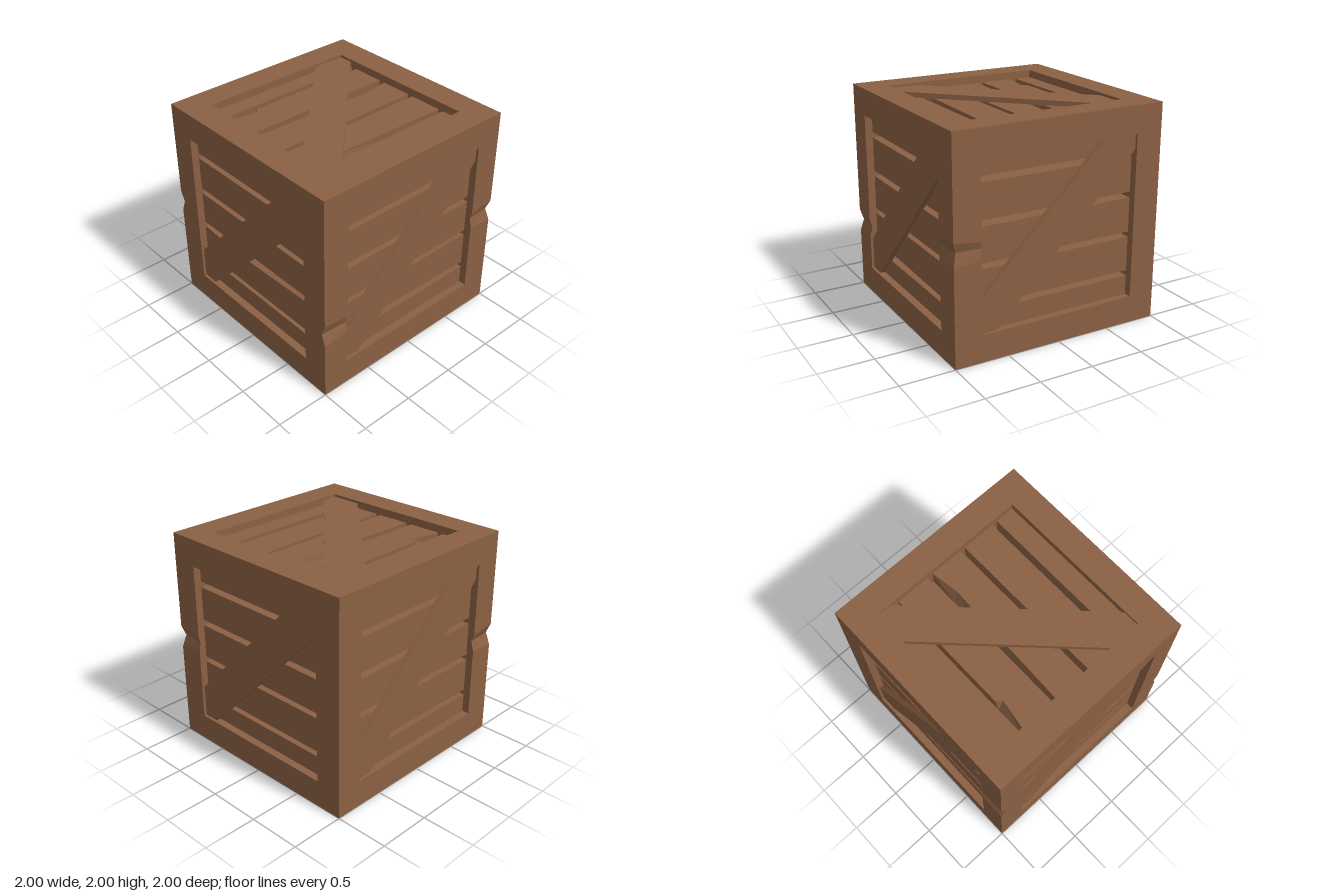
import * as THREE from 'three';

const wood = new THREE.MeshStandardMaterial({ color: 0x8b6043 });
wood.name = 'brown wood';

const FACE = 0.93;   // outer face of the slats, measured from the crate centre
const CORE = 0.78;   // solid core behind the slat gaps

function add(parent, name, geometry, x = 0, y = 0, z = 0) {
  const mesh = new THREE.Mesh(geometry, wood);
  mesh.name = name;
  mesh.position.set(x, y, z);
  parent.add(mesh);
  return mesh;
}

// Corner post; an optional nick pushes its outer edges in at one height
function postGeometry(sx, sz, nick) {
  if (!nick) return new THREE.BoxGeometry(0.25, 2, 0.25);
  const indexed = new THREE.BoxGeometry(0.25, 2, 0.25, 1, 4, 1);
  const levels = [0, nick.low, nick.mid, nick.high, 2];
  const p = indexed.attributes.position;
  for (let i = 0; i < p.count; i++) {
    const level = Math.round((p.getY(i) + 1) * 2);
    const outX = p.getX(i) * sx > 0, outZ = p.getZ(i) * sz > 0;
    let y = levels[level];
    if (outX !== outZ && level !== 2) y += (level === 3 ? -0.03 : level === 1 ? 0.02 : 0);
    p.setY(i, y - 1);
    if (level === 2) {
      if (outX) p.setX(i, p.getX(i) - sx * (outZ ? nick.dx : nick.dx * 0.6));
      if (outZ) p.setZ(i, p.getZ(i) - sz * (outX ? nick.dz : nick.dz * 0.6));
    }
  }
  const geometry = indexed.toNonIndexed();
  geometry.computeVertexNormals();
  return geometry;
}

function extrude(points, depth) {
  const shape = new THREE.Shape(points.map(([u, v]) => new THREE.Vector2(u, v)));
  return new THREE.ExtrudeGeometry(shape, { depth, bevelEnabled: false });
}

// Slat with optional worn points along its lower and upper edges;
// the wear slopes back to a straight edge at the rear
function slatGeometry(lo, hi, lower, upper) {
  const low = lower || [[-0.75, lo], [0.75, lo]];
  const top = upper || [[0.75, hi], [-0.75, hi]];
  const geometry = extrude([...low, ...top], FACE - CORE);
  const p = geometry.attributes.position;
  const mid = (lo + hi) / 2;
  for (let i = 0; i < p.count; i++) {
    if (p.getZ(i) < 0.01) p.setY(i, p.getY(i) > mid ? hi : lo);
  }
  geometry.computeVertexNormals();
  return geometry;
}

const SLATS = [[-0.75, -0.57], [-0.52, -0.2], [-0.15, 0.165], [0.22, 0.535], [0.59, 0.75]];
const BRACE = [[-0.75, -0.75], [-0.6, -0.75], [0.75, 0.61], [0.75, 0.75], [0.44, 0.75], [-0.75, -0.45]];
const RAISED = [[-0.75, -0.52], [-0.45, -0.52], [-0.37, -0.492], [0.75, -0.52]];

// One side panel: five slats and a diagonal brace; u is right, v is up
function panel(name, u, v, wear = {}) {
  const group = new THREE.Group();
  group.name = name;
  SLATS.forEach(([lo, hi], i) => {
    const w = wear[i] || {};
    add(group, 'slat', slatGeometry(lo, hi, w.lower, w.upper), 0, 0, CORE);
  });
  add(group, 'diagonalBrace', extrude(BRACE, 0.05), 0, 0, FACE - 0.005);
  const U = new THREE.Vector3(...u), V = new THREE.Vector3(...v);
  const W = new THREE.Vector3().crossVectors(U, V);
  group.quaternion.setFromRotationMatrix(new THREE.Matrix4().makeBasis(U, V, W));
  group.position.y = 1;
  return group;
}

export function createModel() {
  const crate = new THREE.Group();
  crate.name = 'woodenCrate';

  // Posts, three of them nicked
  const nicks = {
    '1,1': { low: 0.56, mid: 0.665, high: 0.77, dx: 0.037, dz: 0 },
    '1,-1': { low: 0.89, mid: 1.01, high: 1.1, dx: 0.03, dz: 0.027 },
    '-1,1': { low: 0.89, mid: 1.0, high: 1.1, dx: 0.045, dz: 0 },
  };
  for (const sx of [-1, 1]) for (const sz of [-1, 1]) {
    add(crate, 'cornerPost', postGeometry(sx, sz, nicks[`${sx},${sz}`]), sx * 0.875, 1, sz * 0.875);
  }

  // Top and bottom rails
  for (const y of [0.125, 1.875]) for (const s of [-1, 1]) {
    add(crate, 'crossRail', new THREE.BoxGeometry(1.5, 0.25, 0.25), 0, y, s * 0.875);
    add(crate, 'sideRail', new THREE.BoxGeometry(0.25, 0.25, 1.5), s * 0.875, y, 0);
  }

  add(crate, 'innerCore', new THREE.BoxGeometry(CORE * 2, CORE * 2, CORE * 2), 0, 1, 0);

  // Six panels, some with worn slats
  crate.add(
    panel('frontPanel', [1, 0, 0], [0, 1, 0], {
      1: { upper: [[0.75, -0.2], [-0.2, -0.24], [-0.75, -0.2]] },
    }),
    panel('leftPanel', [0, 0, -1], [0, 1, 0], { 1: { lower: RAISED } }),
    panel('backPanel', [-1, 0, 0], [0, 1, 0]),
    panel('rightPanel', [0, 0, 1], [0, 1, 0]),
    panel('topPanel', [0, 0, -1], [-1, 0, 0], {
      1: { lower: RAISED },
      2: { upper: [[0.75, 0.16], [0.48, 0.12], [0.3, 0.13], [-0.15, 0.145], [-0.75, 0.165]] },
      3: { upper: [[0.75, 0.535], [-0.43, 0.535], [-0.47, 0.485], [-0.75, 0.53]] },
    }),
    panel('bottomPanel', [0, 0, 1], [-1, 0, 0]),
  );
  return crate;
}
